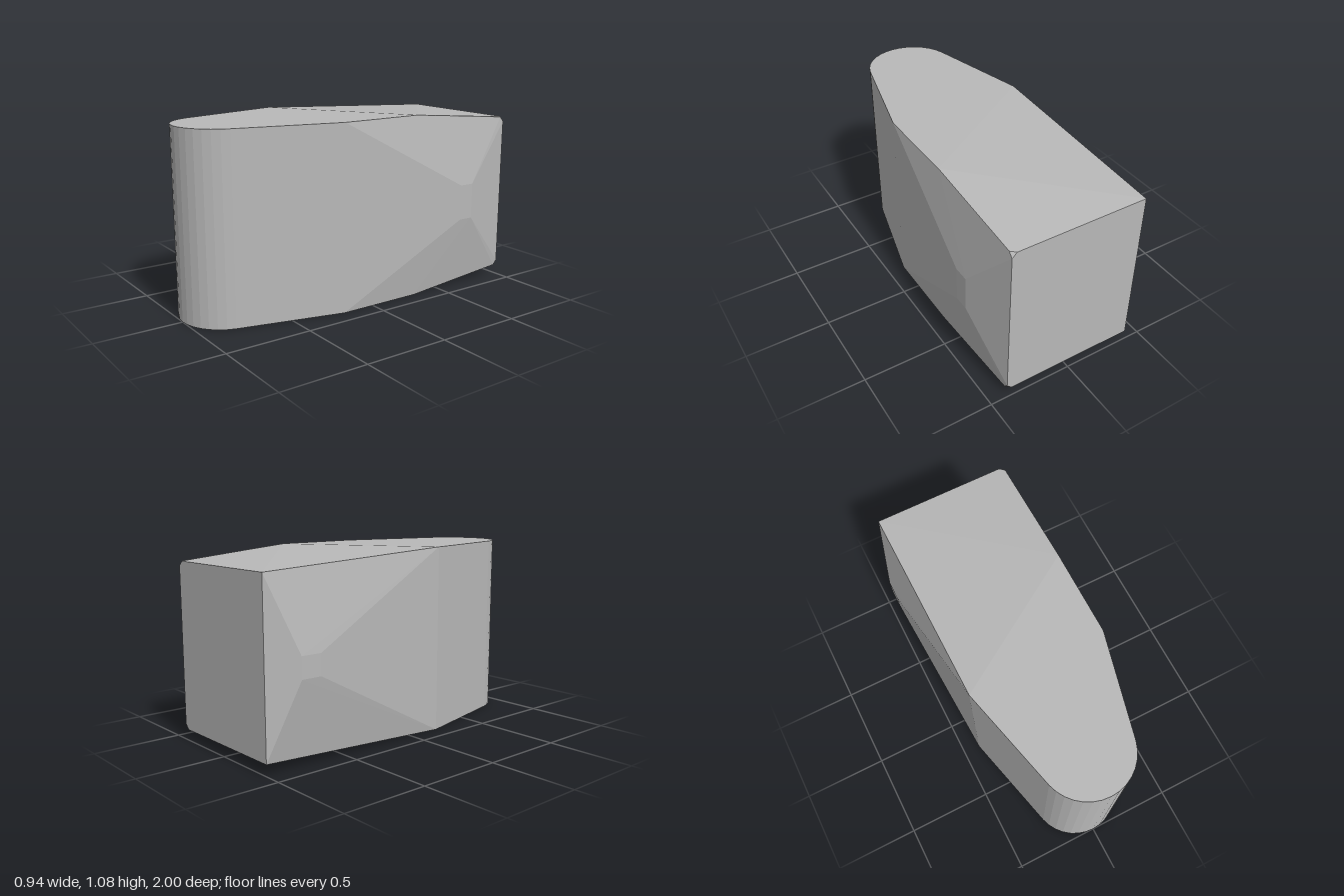
import * as THREE from 'three';
import { ConvexGeometry } from 'three/addons/geometries/ConvexGeometry.js';

const HEIGHT = 1.075;

export function createModel() {
  const group = new THREE.Group();
  group.name = 'wedgeBlock';
  const grey = new THREE.MeshStandardMaterial({ color: 0xb8b8b8 });
  grey.name = 'plain grey';

  const points = [];
  // Every corner is mirrored about mid-height
  const pair = (x, z, y = HEIGHT) => {
    points.push(new THREE.Vector3(x, y, z), new THREE.Vector3(x, HEIGHT - y, z));
  };

  // Rounded nose, tangent to the tapering flanks
  const radius = 0.26, segments = 14, tilt = THREE.MathUtils.degToRad(15);
  for (let i = 0; i <= segments; i++) {
    const a = tilt + (Math.PI - 2 * tilt) * i / segments;
    pair(radius * Math.cos(a), 0.74 + radius * Math.sin(a));
  }

  // Shoulders, and the crease where the roof starts to drop
  pair(0.4, 0.2);
  pair(-0.4, 0.2);
  pair(0.4, -0.31);

  // Back face, with a small cut on the +x corners
  pair(-0.4, -1, 1.013);
  pair(0.375, -1, 1.013);
  pair(0.403, -0.975, 1.013);
  pair(0.403, -1, 0.985);

  // Shallow pyramid bulges on the two sides
  pair(0.47, -0.6, 0.642);
  pair(0.47, -0.69, 0.642);
  pair(-0.475, -0.71, 0.597);
  pair(-0.475, -0.83, 0.597);

  const body = new THREE.Mesh(new ConvexGeometry(points), grey);
  body.name = 'body';
  group.add(body);
  return group;
}
